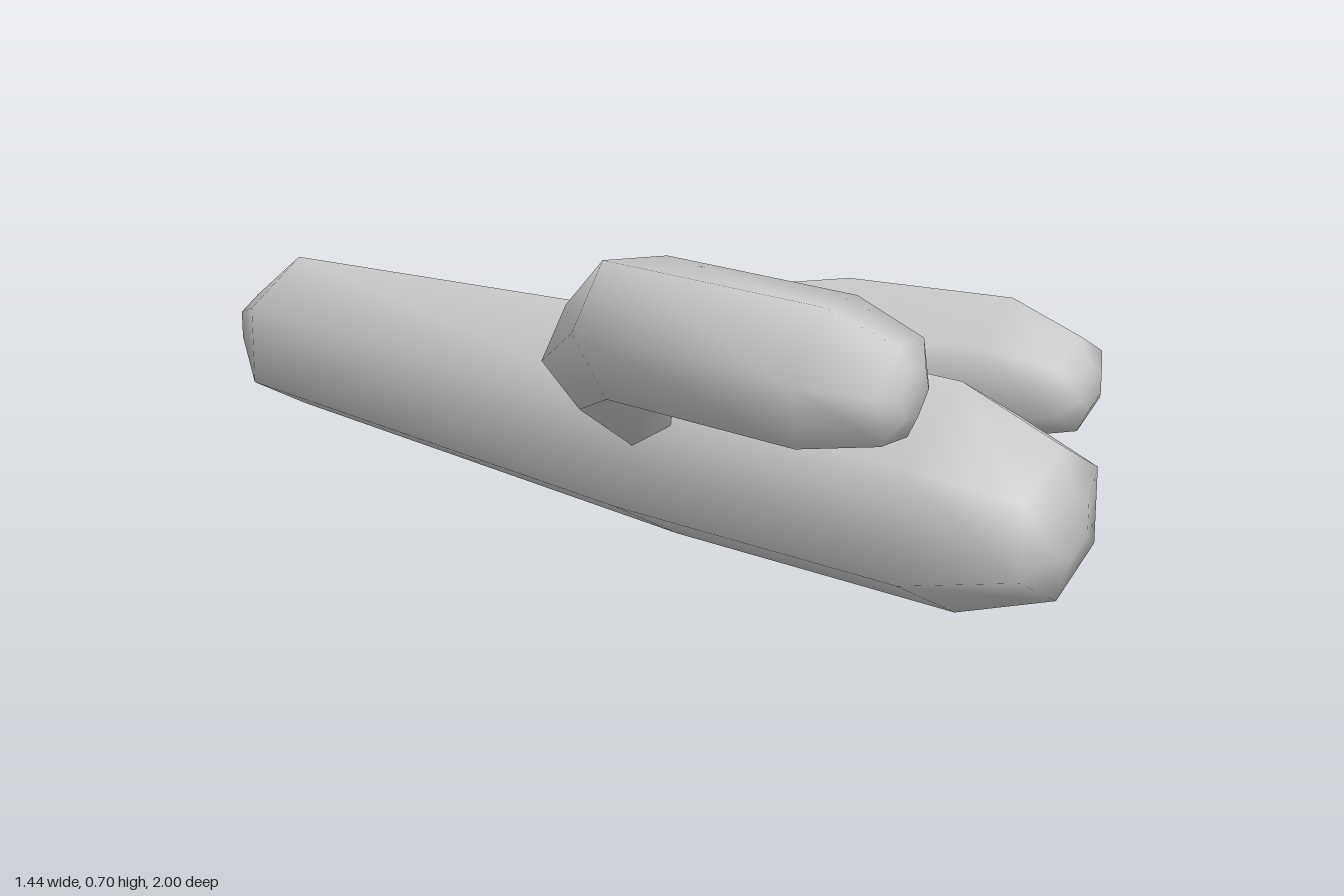
import * as THREE from 'three';

const SIDES = 6;
const AXIS = new THREE.Vector3(-0.115, 0.218, 0); // trunk axis

// Smooth six-sided limb swept in the plane spanned by z and a direction at `tilt` degrees.
// Each ring: [distance from trunk axis, z, radius, heading in degrees (90 = +z)]
function limb(name, tilt, rings) {
  const a = THREE.MathUtils.degToRad(tilt);
  const out = new THREE.Vector3(Math.cos(a), Math.sin(a), 0);
  const normal = new THREE.Vector3(-Math.sin(a), Math.cos(a), 0);
  const pos = [], index = [];

  const centres = rings.map(([s, z, r, heading]) => {
    const h = THREE.MathUtils.degToRad(heading);
    const tangent = out.clone().multiplyScalar(Math.cos(h));
    tangent.z += Math.sin(h);
    const side = new THREE.Vector3().crossVectors(normal, tangent);
    const c = AXIS.clone().addScaledVector(out, s);
    c.z += z;
    for (let j = 0; j < SIDES; j++) {
      const t = Math.PI / 2 + (j / SIDES) * Math.PI * 2;
      const p = c.clone()
        .addScaledVector(side, r * Math.cos(t))
        .addScaledVector(normal, r * Math.sin(t));
      pos.push(p.x, p.y, p.z);
    }
    return c;
  });

  // Walls
  for (let i = 0; i < rings.length - 1; i++) {
    for (let j = 0; j < SIDES; j++) {
      const k = (j + 1) % SIDES;
      const p = i * SIDES + j, q = i * SIDES + k;
      index.push(p, q, q + SIDES, p, q + SIDES, p + SIDES);
    }
  }

  // End caps, sharing the ring vertices so shading stays rounded
  const first = pos.length / 3, last = first + 1;
  const base = (rings.length - 1) * SIDES;
  for (const c of [centres[0], centres[centres.length - 1]]) pos.push(c.x, c.y, c.z);
  for (let j = 0; j < SIDES; j++) {
    const k = (j + 1) % SIDES;
    index.push(first, k, j, last, base + j, base + k);
  }

  const geometry = new THREE.BufferGeometry();
  geometry.setAttribute('position', new THREE.Float32BufferAttribute(pos, 3));
  geometry.setIndex(index);
  geometry.computeVertexNormals();
  const mesh = new THREE.Mesh(geometry, new THREE.MeshStandardMaterial({ color: 0xcccccc }));
  mesh.name = name;
  return mesh;
}

export function createModel() {
  const group = new THREE.Group();
  group.name = 'cactus';

  // Trunk lying along z, narrower towards the back
  group.add(limb('trunk', 0, [
    [0, -1, 0.055, 90],
    [0, -0.87, 0.16, 90],
    [0, 0.14, 0.215, 90],
    [0, 0.77, 0.215, 90],
    [0, 0.975, 0.141, 90],
    [0, 1, 0.062, 90],
  ]));

  // Level arm on the left
  group.add(limb('leftArm', 0, [
    [0.155, -0.247, 0.112, 14],
    [0.41, -0.163, 0.126, 37],
    [0.635, 0.085, 0.144, 74],
    [0.71, 0.43, 0.147, 89],
    [0.705, 0.593, 0.098, 90],
    [0.705, 0.62, 0.046, 90],
  ]));

  // Raised arm on the right
  group.add(limb('rightArm', 143, [
    [0.155, 0.182, 0.095, 8],
    [0.39, 0.222, 0.11, 35],
    [0.6, 0.437, 0.133, 73],
    [0.595, 0.82, 0.135, 104],
    [0.58, 0.957, 0.094, 99],
    [0.588, 0.985, 0.046, 97],
  ]));

  return group;
}
